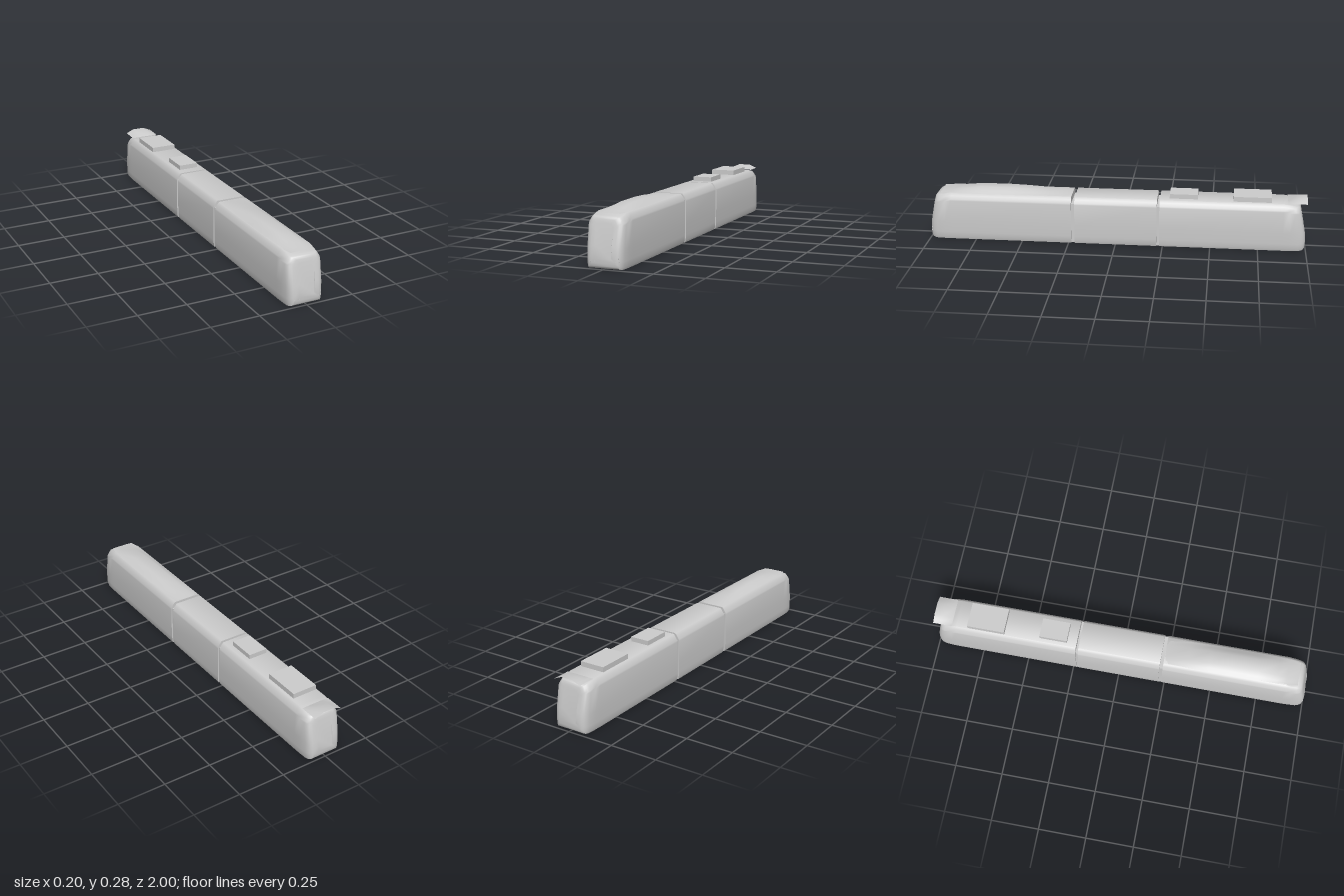
import * as THREE from 'three';
import { toCreasedNormals } from 'three/addons/utils/BufferGeometryUtils.js';

// Half outline of the car body (x, y), from the floor up to the roof edge
const HALF = [[0.091, 0], [0.095, 0.012], [0.097, 0.04], [0.098, 0.1], [0.098, 0.216],
  [0.096, 0.224], [0.086, 0.241], [0.077, 0.253], [0.073, 0.255]];
const OUTLINE = [...HALF, ...HALF.slice().reverse().map(([x, y]) => [-x, y])];
const ROOF = 0.255;

// Skins a list of rings running towards +z; closed rings get end caps
function loft(rings, closed, crease = 0.6) {
  const n = rings[0].length, pos = rings.flat(2), index = [];
  const last = closed ? n : n - 1;
  for (let i = 0; i < rings.length - 1; i++) {
    for (let j = 0; j < last; j++) {
      const k = (j + 1) % n, a = i * n + j, b = i * n + k;
      index.push(a, b, a + n, b, b + n, a + n);
    }
  }
  if (closed) {
    const e = (rings.length - 1) * n;
    for (let j = 1; j < n - 1; j++) index.push(0, j + 1, j, e, e + j, e + j + 1);
  }
  const g = new THREE.BufferGeometry();
  g.setAttribute('position', new THREE.Float32BufferAttribute(pos, 3));
  g.setIndex(index);
  return toCreasedNormals(g, crease);
}

// One body ring: narrowed by d, squeezed between y0 and y1, raked back at the top
function bodyRing(z, d = 0, y0 = 0, y1 = ROOF) {
  const rake = 0.03 * Math.max(0, (z - 0.88) / 0.12);
  return OUTLINE.map(([px, py]) => {
    const y = y0 + (py / ROOF) * (y1 - y0);
    return [px * (1 - d / 0.098), y, z - rake * Math.max(0, (y - 0.08) / 0.15)];
  });
}

// Low arched ring for the roof covers
function archRing(z, w, base, h) {
  return [[1, 0], [0.75, 0.45], [0.42, 1], [-0.42, 1], [-0.75, 0.45], [-1, 0]]
    .map(([x, t]) => [x * w, base + t * h, z]);
}

export function createModel() {
  const model = new THREE.Group();
  const grey = new THREE.MeshStandardMaterial({ color: 0xcccccc, side: THREE.DoubleSide });
  grey.name = 'body grey';

  const add = (name, geometry, x = 0, y = 0, z = 0) => {
    const mesh = new THREE.Mesh(geometry, grey);
    mesh.name = name;
    mesh.position.set(x, y, z);
    model.add(mesh);
    return mesh;
  };
  const box = (name, w, y0, y1, z0, z1, x = 0) =>
    add(name, new THREE.BoxGeometry(w, y1 - y0, z1 - z0), x, (y0 + y1) / 2, (z0 + z1) / 2);

  // End cars with rounded, raked cabs
  const endCar = loft([
    bodyRing(0.235),
    bodyRing(0.88),
    bodyRing(0.92, 0.001, 0, 0.25),
    bodyRing(0.962, 0.004, 0, 0.244),
    bodyRing(0.979, 0.009, 0.002, 0.241),
    bodyRing(0.990, 0.016, 0.007, 0.238),
    bodyRing(0.996, 0.024, 0.015, 0.234),
    bodyRing(0.999, 0.036, 0.03, 0.226),
    bodyRing(1, 0.055, 0.05, 0.21),
  ], true, 0.7);
  add('frontCar', endCar);
  const rear = add('rearCar', endCar, 0, 0, 0.003);
  rear.rotation.y = Math.PI;

  // Middle car
  add('middleCar', loft([bodyRing(-0.218), bodyRing(0.217)], true));

  // Recessed gangways between the cars
  for (const z of [-0.225, 0.226]) box('gangway', 0.182, 0.004, 0.221, z - 0.02, z + 0.02);

  // Long streamlined cover on the front roof
  add('frontRoofCover', loft([
    archRing(0.237, 0.075, 0.254, 0.001),
    archRing(0.36, 0.075, 0.254, 0.012),
    archRing(0.47, 0.075, 0.254, 0.021),
    archRing(0.58, 0.075, 0.254, 0.025),
    archRing(0.73, 0.075, 0.254, 0.024),
    archRing(0.83, 0.075, 0.254, 0.014),
    archRing(0.88, 0.073, 0.254, 0.006),
    archRing(0.94, 0.062, 0.253, 0.001),
  ], false));

  // Arched flap over the rear cab
  add('rearRoofFlap', loft([
    archRing(-1, 0.076, 0.256, 0.019),
    archRing(-0.955, 0.076, 0.256, 0.016),
    archRing(-0.9, 0.076, 0.255, 0.001),
  ], false));

  // Roof equipment boxes
  box('largeRoofUnit', 0.134, 0.25, 0.281, -0.815, -0.617, -0.003);
  box('smallRoofUnit', 0.104, 0.25, 0.279, -0.43, -0.283, -0.003);

  // Small round fittings low on the front face
  const fittings = [[-0.036, 0.065, 0.003], [-0.036, 0.048, 0.003], [-0.042, 0.038, 0.003],
    [-0.064, 0.036, 0.003], [0.063, 0.037, 0.003], [0.075, 0.057, 0.004], [0.075, 0.038, 0.004]];
  for (const [x, y, r] of fittings) {
    const disc = new THREE.CylinderGeometry(r, r, 0.006, 12).rotateX(Math.PI / 2);
    add('frontFitting', disc, x, y, Math.abs(x) > 0.07 ? 0.992 : 0.9965);
  }
  return model;
}
